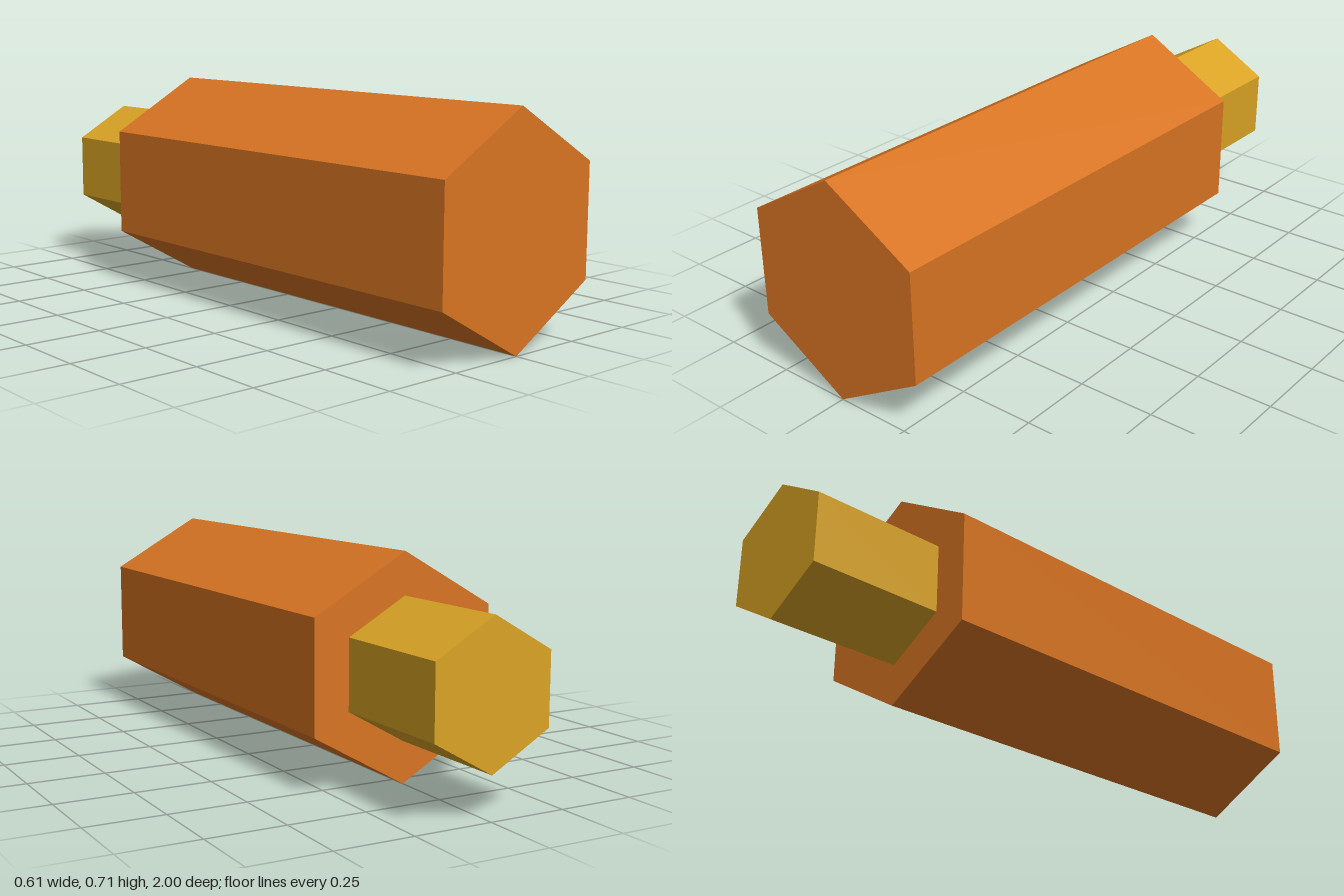
import * as THREE from 'three';

const orange = new THREE.MeshStandardMaterial({ color: 0xd87422 });
orange.name = 'orange';
const gold = new THREE.MeshStandardMaterial({ color: 0xd9a324 });
gold.name = 'gold';

const AXIS_Y = 0.355;

// Hexagonal prism along z with corners at top and bottom
function hexPrism(name, radius, zFront, zBack, material) {
  const length = zFront - zBack;
  const geometry = new THREE.CylinderGeometry(radius, radius, length, 6).toNonIndexed();
  geometry.rotateX(Math.PI / 2);
  geometry.computeVertexNormals(); // flat facets
  const mesh = new THREE.Mesh(geometry, material);
  mesh.name = name;
  mesh.position.set(0, AXIS_Y, (zFront + zBack) / 2);
  return mesh;
}

export function createModel() {
  const model = new THREE.Group();
  model.name = 'hexStandoff';
  // Thick body at the front, thinner stud at the back
  model.add(hexPrism('body', 0.355, 1, -0.555, orange));
  model.add(hexPrism('stud', 0.222, -0.555, -1, gold));
  return model;
}
